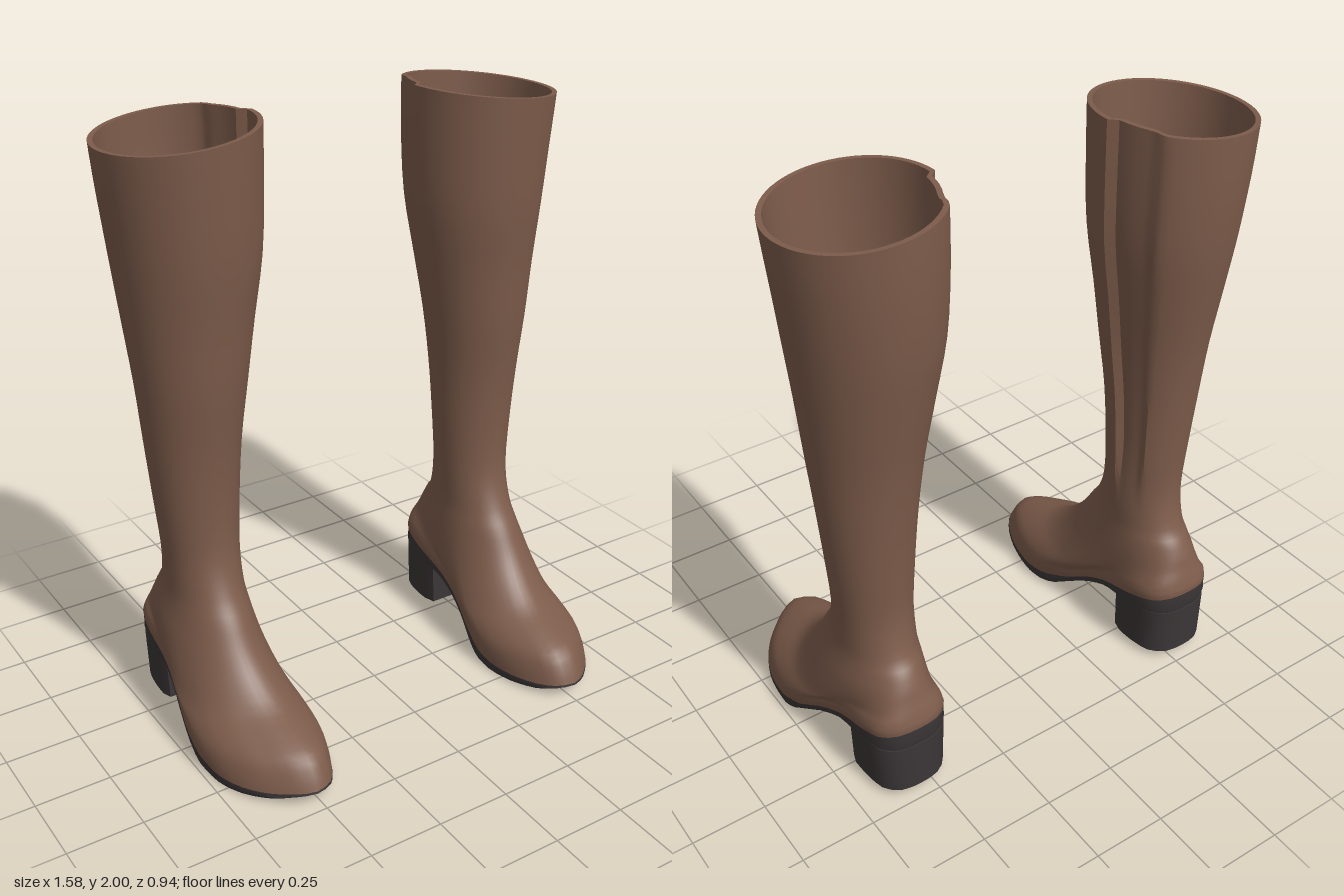
import * as THREE from 'three';
import { toCreasedNormals } from 'three/addons/utils/BufferGeometryUtils.js';

const N = 64; // points around each cross-section
const { lerp, smoothstep } = THREE.MathUtils;

// Rings from rim to sole edge: yFront, zFront, yBack, zBack, xInner, xOuter, blend (0 leg oval, 1 foot outline)
const RINGS = [
  [1.975, 0.045, 1.975, -0.47, 0.29, 0.79, 0],
  [1.8, 0.035, 1.8, -0.467, 0.292, 0.775, 0],
  [1.6, 0.022, 1.6, -0.452, 0.303, 0.755, 0],
  [1.4, -0.003, 1.4, -0.42, 0.335, 0.735, 0],
  [1.2, -0.022, 1.2, -0.387, 0.367, 0.716, 0],
  [1.0, -0.05, 1.0, -0.365, 0.392, 0.70, 0],
  [0.8, -0.064, 0.8, -0.35, 0.408, 0.683, 0],
  [0.62, -0.06, 0.62, -0.345, 0.42, 0.667, 0],
  [0.5, -0.02, 0.5, -0.373, 0.424, 0.666, 0],
  [0.43, 0.025, 0.455, -0.405, 0.418, 0.675, 0.05],
  [0.35, 0.075, 0.41, -0.43, 0.405, 0.695, 0.2],
  [0.28, 0.135, 0.37, -0.445, 0.39, 0.71, 0.45],
  [0.215, 0.22, 0.345, -0.455, 0.375, 0.72, 0.7],
  [0.18, 0.32, 0.325, -0.462, 0.365, 0.73, 0.9],
  [0.145, 0.41, 0.305, -0.468, 0.36, 0.735, 1],
  [0.095, 0.45, 0.295, -0.47, 0.358, 0.737, 1],
  [0.053, 0.47, 0.28, -0.47, 0.36, 0.735, 1],
];
const EDGE = RINGS[RINGS.length - 1];

// Foot outline halves (x, z), toe to heel
const OUTER = [[0.515, 0.47], [0.555, 0.455], [0.6, 0.42], [0.665, 0.35], [0.715, 0.25], [0.735, 0.14], [0.735, 0.05],
  [0.72, -0.05], [0.7, -0.15], [0.688, -0.25], [0.683, -0.35], [0.665, -0.425], [0.615, -0.463], [0.55, -0.47]];
const INNER = [[0.515, 0.47], [0.465, 0.455], [0.432, 0.42], [0.395, 0.35], [0.367, 0.25], [0.36, 0.14], [0.378, 0.05],
  [0.402, -0.05], [0.413, -0.15], [0.41, -0.25], [0.412, -0.35], [0.433, -0.425], [0.485, -0.463], [0.55, -0.47]];
const curve = pts => new THREE.CatmullRomCurve3(pts.map(([x, z]) => new THREE.Vector3(x, 0, z)));
const outerCurve = curve(OUTER), innerCurve = curve(INNER);
const OUTLINE = Array.from({ length: N }, (_, i) => {
  const t = i / (N / 2);
  return t <= 1 ? outerCurve.getPointAt(t) : innerCurve.getPointAt(2 - t);
});

// Side profile of the sole (z, y)
const SOLE_TOP = [[-0.47, 0.28], [-0.4, 0.262], [-0.3, 0.235], [-0.2, 0.205], [-0.1, 0.155], [0, 0.09], [0.1, 0.05],
  [0.2, 0.035], [0.3, 0.036], [0.4, 0.042], [0.47, 0.053]];
const SOLE_BOTTOM = [[-0.47, 0.2], [-0.25, 0.187], [-0.2, 0.18], [-0.1, 0.132], [0, 0.068], [0.05, 0.033], [0.1, 0.013],
  [0.2, 0.003], [0.3, 0.008], [0.4, 0.02], [0.47, 0.042]];
function heightAt(table, z) {
  let k = 1;
  while (k < table.length - 1 && z > table[k][0]) k++;
  const [z0, y0] = table[k - 1], [z1, y1] = table[k];
  return lerp(y0, y1, THREE.MathUtils.clamp((z - z0) / (z1 - z0), 0, 1));
}

// Smooth in-between rings
function refine(rings, steps) {
  const out = [], last = rings.length - 1;
  for (let k = 0; k < last; k++) {
    const p = [Math.max(k - 1, 0), k, k + 1, Math.min(k + 2, last)].map(j => rings[j]);
    for (let s = 0; s < steps; s++) {
      const t = s / steps;
      out.push(p[1].map((b, j) => {
        const a = p[0][j], c = p[2][j], d = p[3][j];
        return b + 0.5 * t * (c - a + t * (2 * a - 5 * b + 4 * c - d + t * (3 * (b - c) + d - a)));
      }));
    }
  }
  out.push(rings[last]);
  return out;
}

// One ring of points, pulled inwards by `inset`
function ringPoints([yF, zF, yB, zB, xI, xO, blend], inset = 0) {
  return OUTLINE.map((o, i) => {
    const a = (i / N) * Math.PI * 2, c = Math.cos(a), s = Math.sin(a);
    const u = lerp(0.5 + 0.5 * s, (o.x - 0.36) / 0.375, blend);
    const v = lerp(0.5 + 0.5 * c, (o.z + 0.47) / 0.94, blend);
    let x = lerp(xI + inset, xO - inset, u), y = lerp(yB, yF, v);
    const z = lerp(zB + inset, zF - inset, v), zs = lerp(-0.47, 0.47, v);
    // follow the arch of the sole
    y += blend * (heightAt(SOLE_TOP, zs) - lerp(EDGE[2], EDGE[0], v));
    // rim rises towards the inner leg
    y += 0.05 * (0.5 - u) * smoothstep(yF, 1.7, 1.975);
    // sunken fastening panel behind the inner seam
    if (s < 0 && c < -0.03) x += 0.024 * smoothstep(yF, 0.52, 0.85) * (1 - smoothstep(-c, 0.5, 0.72));
    return new THREE.Vector3(x, y, z);
  });
}

// Skin over a list of rings, optionally closed at both ends
function loft(rows, capped, crease) {
  const idx = [], pos = rows.flat().flatMap(p => [p.x, p.y, p.z]);
  for (let r = 0; r < rows.length - 1; r++) for (let i = 0; i < N; i++) {
    const j = (i + 1) % N, a = r * N + i, b = r * N + j, c = a + N, d = b + N;
    idx.push(a, c, b, b, c, d);
  }
  if (capped) for (let i = 0; i < N / 2; i++) {
    const a = i, b = i + 1, c = (N - i) % N, d = N - i - 1, m = (rows.length - 1) * N;
    if (a !== c) idx.push(a, b, c, m + a, m + c, m + b);
    if (b !== d) idx.push(b, d, c, m + b, m + c, m + d);
  }
  const g = new THREE.BufferGeometry();
  g.setAttribute('position', new THREE.Float32BufferAttribute(pos, 3));
  g.setIndex(idx);
  return toCreasedNormals(g, crease);
}

function upperGeometry() {
  const rings = refine(RINGS, 3);
  const lining = rings.slice(0, 25).reverse().map(r => ringPoints(r, 0.016));
  return loft([...lining, ...rings.map(r => ringPoints(r))], false, 0.6);
}

function soleGeometry() {
  const top = ringPoints(EDGE);
  const lower = (f, k) => top.map(p => new THREE.Vector3(
    0.547 + (p.x - 0.547) * k, lerp(p.y, heightAt(SOLE_BOTTOM, p.z), f), p.z * k));
  return loft([top, lower(0.6, 1.004), lower(1, 0.985)], true, 0.7);
}

function heelGeometry() {
  const back = OUTLINE.filter(p => p.z < -0.255);
  const pts = [new THREE.Vector2(back[0].x - 0.012, 0.245), ...back.map(p => new THREE.Vector2(p.x, -p.z)),
    new THREE.Vector2(back[back.length - 1].x + 0.012, 0.245)];
  const g = new THREE.ExtrudeGeometry(new THREE.Shape(pts), { depth: 0.18, bevelEnabled: false });
  g.rotateX(-Math.PI / 2).translate(0, 0.03, 0);
  // slight taper towards the ground
  const p = g.attributes.position;
  for (let i = 0; i < p.count; i++) if (p.getY(i) < 0.1) p.setX(i, 0.547 + (p.getX(i) - 0.547) * 0.95);
  return toCreasedNormals(g, 0.6);
}

// Mirror across x, restoring the corner order
function mirrored(geometry) {
  const g = geometry.clone();
  for (const name of ['position', 'normal']) {
    const at = g.attributes[name], v = k => new THREE.Vector3().fromBufferAttribute(at, k);
    for (let i = 0; i < at.count; i += 3) [v(i), v(i + 2), v(i + 1)].forEach((p, k) => at.setXYZ(i + k, -p.x, p.y, p.z));
  }
  g.deleteAttribute('uv');
  return g;
}

export function createModel() {
  const leather = new THREE.MeshStandardMaterial({ color: 0x7d5c4b, side: THREE.DoubleSide });
  leather.name = 'brown leather';
  const rubber = new THREE.MeshStandardMaterial({ color: 0x3b3536 });
  rubber.name = 'dark rubber';

  const parts = [['upper', upperGeometry(), leather], ['sole', soleGeometry(), rubber], ['heel', heelGeometry(), rubber]];
  const model = new THREE.Group();
  model.name = 'boots';
  for (const side of ['left', 'right']) {
    const boot = new THREE.Group();
    boot.name = side + 'Boot';
    for (const [name, geometry, material] of parts) {
      const mesh = new THREE.Mesh(side === 'left' ? geometry : mirrored(geometry), material);
      mesh.name = name;
      boot.add(mesh);
    }
    model.add(boot);
  }
  return model;
}
